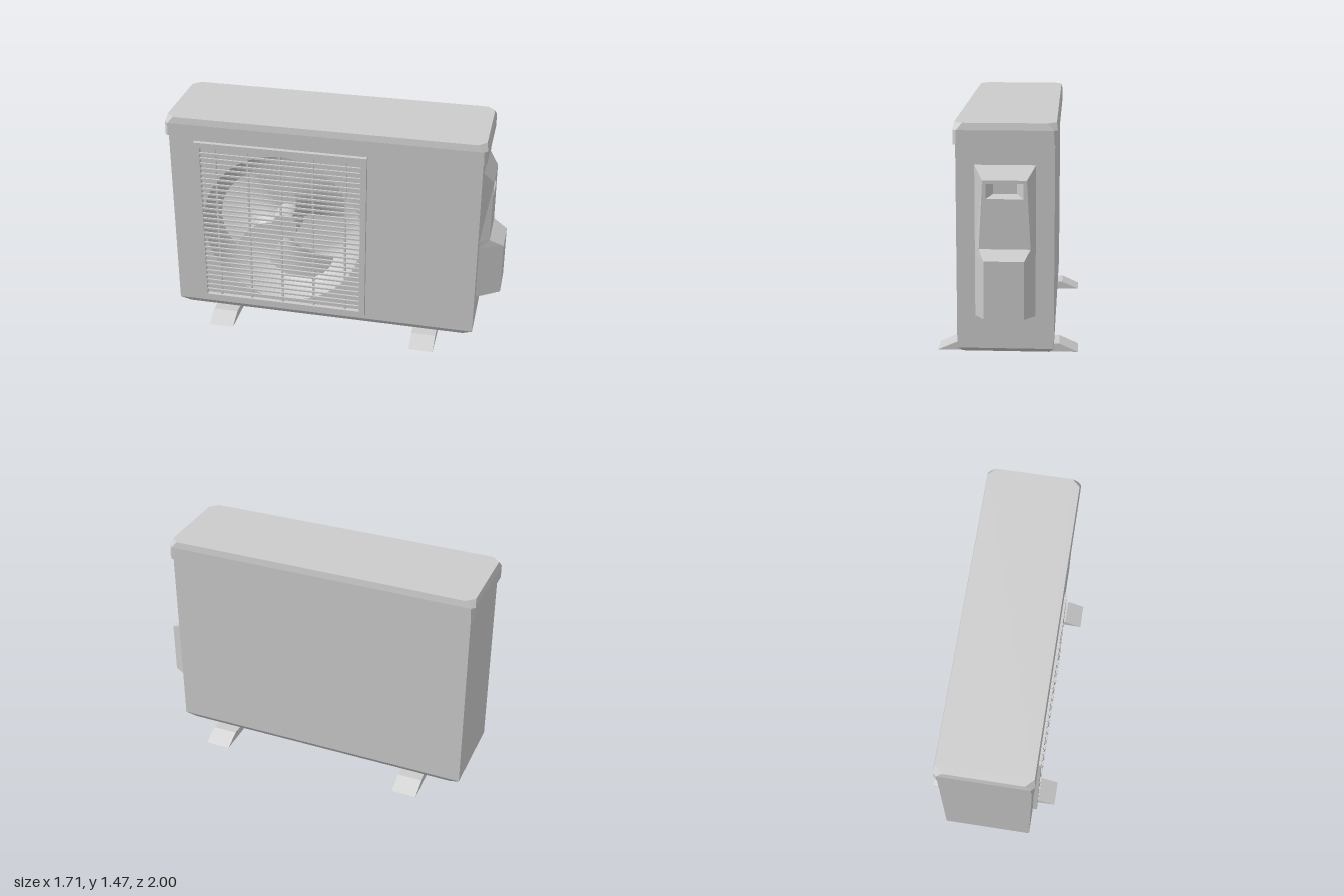
import * as THREE from 'three';

const solid = new THREE.MeshStandardMaterial({ color: 0xcccccc });
const thin = new THREE.MeshStandardMaterial({ color: 0xcccccc, side: THREE.DoubleSide });

const HX = 1.013, HZ = 0.29;                 // cabinet half length and half depth
const FAN = { x: -0.275, y: 0.715, r: 0.535 };

function add(parent, name, geometry, material = solid) {
  const mesh = new THREE.Mesh(geometry, material);
  mesh.name = name;
  parent.add(mesh);
  return mesh;
}

function box(parent, name, w, h, d, x, y, z) {
  add(parent, name, new THREE.BoxGeometry(w, h, d)).position.set(x, y, z);
}

// Flat-faced skin between cross-sections; skip(section, side) leaves a side open.
function loft(rings, { closed = true, caps = [], skip = () => false } = {}) {
  const out = [];
  const tri = (...pts) => pts.forEach((p) => out.push(...p));
  for (let s = 0; s < rings.length - 1; s++) {
    const a = rings[s], b = rings[s + 1], n = a.length;
    for (let i = 0; i < (closed ? n : n - 1); i++) {
      if (skip(s, i)) continue;
      const j = (i + 1) % n;
      tri(a[i], a[j], b[j]);
      tri(a[i], b[j], b[i]);
    }
  }
  const first = rings[0], last = rings[rings.length - 1];
  for (let i = 1; i < first.length - 1; i++) {
    if (caps.includes('start')) tri(first[0], first[i + 1], first[i]);
    if (caps.includes('end')) tri(last[0], last[i], last[i + 1]);
  }
  const g = new THREE.BufferGeometry();
  g.setAttribute('position', new THREE.Float32BufferAttribute(out, 3));
  g.computeVertexNormals();
  return g;
}

const rect = (x, z, y) => [[-x, y, z], [x, y, z], [x, y, -z], [-x, y, -z]];
const octagon = (x, z, c, y) => [
  [-x + c, y, z], [x - c, y, z], [x, y, z - c], [x, y, -z + c],
  [x - c, y, -z], [-x + c, y, -z], [-x, y, -z + c], [-x, y, z - c],
];
const polygon = (pts) => new THREE.Shape(pts.map(([x, y]) => new THREE.Vector2(x, y)));

function cabinet(parent) {
  const g = new THREE.Group();
  g.name = 'cabinet';
  // Side walls with a bevelled base; the front wall is a separate pierced panel
  add(g, 'shell', loft([rect(0.95, 0.26, 0.06), rect(HX, HZ, 0.1), rect(HX, HZ, 1.345)],
    { caps: ['start'], skip: (s, i) => s === 1 && i === 0 }));
  const panel = polygon([[-HX, 0.1], [HX, 0.1], [HX, 1.345], [-HX, 1.345]]);
  panel.holes.push(new THREE.Path().absarc(FAN.x, FAN.y, FAN.r, 0, Math.PI * 2, true));
  add(g, 'frontPanel', new THREE.ShapeGeometry(panel, 32)).position.z = HZ;
  // Lid whose corner cuts widen towards the top
  add(g, 'lid', loft([
    octagon(1.035, 0.305, 0.018, 1.34),
    octagon(1.035, 0.305, 0.022, 1.425),
    octagon(1.025, 0.298, 0.05, 1.467),
  ], { caps: ['start', 'end'] }));
  parent.add(g);
}

function fan(parent) {
  const g = new THREE.Group();
  g.name = 'fan';
  g.position.set(FAN.x, FAN.y, 0);
  // Rounded well behind the opening
  const profile = [[0, -0.02], [0.36, -0.02], [0.45, 0.03], [0.5, 0.11], [0.525, 0.2], [FAN.r, HZ]]
    .map(([r, y]) => new THREE.Vector2(r, y));
  add(g, 'fanWell', new THREE.LatheGeometry(profile, 64).rotateX(Math.PI / 2), thin);
  const hub = new THREE.CylinderGeometry(0.085, 0.1, 0.14, 24).rotateX(Math.PI / 2);
  add(g, 'fanHub', hub).position.z = 0.165;
  const shaft = new THREE.CylinderGeometry(0.05, 0.05, 0.14, 16).rotateX(Math.PI / 2);
  add(g, 'fanShaft', shaft).position.z = 0.04;
  // Three swept, pitched blades
  for (let k = 0; k < 3; k++) {
    const blade = new THREE.PlaneGeometry(1, 1, 10, 10);
    const p = blade.attributes.position;
    for (let i = 0; i < p.count; i++) {
      const u = p.getX(i) + 0.5, v = p.getY(i);
      const r = 0.07 + u * 0.38 * (1 - 0.7 * v * v);
      const angle = (k / 3) * Math.PI * 2 + 0.55 + 0.3 * u + v * (0.7 + 0.75 * u);
      p.setXYZ(i, r * Math.cos(angle), r * Math.sin(angle), 0.16 + v * 0.11);
    }
    blade.computeVertexNormals();
    add(g, 'fanBlade', blade, thin);
  }
  parent.add(g);
}

function grille(parent) {
  const g = new THREE.Group();
  g.name = 'grille';
  const [x0, x1, y0, y1] = [-0.844, 0.288, 0.13, 1.31];
  const b = 0.038;
  const frame = polygon([[x0, y0], [x1, y0], [x1, y1], [x0, y1]]);
  frame.holes.push(polygon([[x0 + b, y0 + b], [x0 + b, y1 - b], [x1 - b, y1 - b], [x1 - b, y0 + b]]));
  add(g, 'grilleFrame', new THREE.ExtrudeGeometry(frame, { depth: 0.03, bevelEnabled: false }))
    .position.z = HZ - 0.001;
  const cx = (x0 + x1) / 2, cy = (y0 + y1) / 2;
  const w = x1 - x0 - 2 * b, h = y1 - y0 - 2 * b;
  const slats = 29;
  for (let i = 1; i <= slats; i++) {
    box(g, 'grilleSlat', w, 0.011, 0.012, cx, y0 + b + (h * i) / (slats + 1), 0.311);
  }
  for (let i = -2; i <= 2; i++) {
    box(g, 'grilleUpright', 0.013, h, 0.012, cx + i * 0.214, cy, 0.3);
  }
  parent.add(g);
}

function valveCover(parent) {
  const g = new THREE.Group();
  g.name = 'valveCover';
  const base = 0.18, top = 1.075;
  // [height, outer half width, outer x] from bottom to top
  const rings = [
    [0.305, base, HX], [0.33, 0.118, 1.166], [0.68, 0.118, 1.166],
    [0.73, 0.152, top], [1.14, 0.13, top], [1.22, base, HX],
  ].map(([y, w, x]) => [[HX, y, base], [x, y, w], [x, y, -w], [HX, y, -base]]);
  add(g, 'coverShell', loft(rings, { closed: false, skip: (s, i) => s === 3 && i === 1 }));
  // Upper face with the hand grip opening
  const face = polygon([[-0.152, 0.73], [0.152, 0.73], [0.13, 1.14], [-0.13, 1.14]]);
  face.holes.push(polygon([[-0.11, 1.03], [-0.11, 1.12], [0.11, 1.12], [0.11, 1.03]]));
  add(g, 'coverFace', new THREE.ShapeGeometry(face).rotateY(Math.PI / 2)).position.x = top;
  const pocket = (x, w, lo, hi) => [[x, lo, w], [x, lo, -w], [x, hi, -w], [x, hi, w]];
  add(g, 'handGrip', loft([pocket(1.02, 0.07, 1.05, 1.11), pocket(top, 0.11, 1.03, 1.12)],
    { caps: ['start'] }), thin);
  parent.add(g);
}

function feet(parent) {
  // Two cross rails with sloping ends
  const side = polygon([[-0.436, 0], [0.436, 0], [0.32, 0.052], [-0.32, 0.052]]);
  for (const x of [-0.68, 0.692]) {
    const rail = new THREE.ExtrudeGeometry(side, { depth: 0.165, bevelEnabled: false });
    rail.translate(0, 0, -0.0825).rotateY(Math.PI / 2);
    add(parent, 'footRail', rail).position.x = x;
  }
}

export function createModel() {
  const model = new THREE.Group();
  model.name = 'outdoorUnit';
  const unit = new THREE.Group();
  unit.name = 'turnedUnit';
  unit.rotation.y = -0.923;
  [cabinet, fan, grille, valveCover, feet].forEach((build) => build(unit));
  model.add(unit);
  return model;
}
